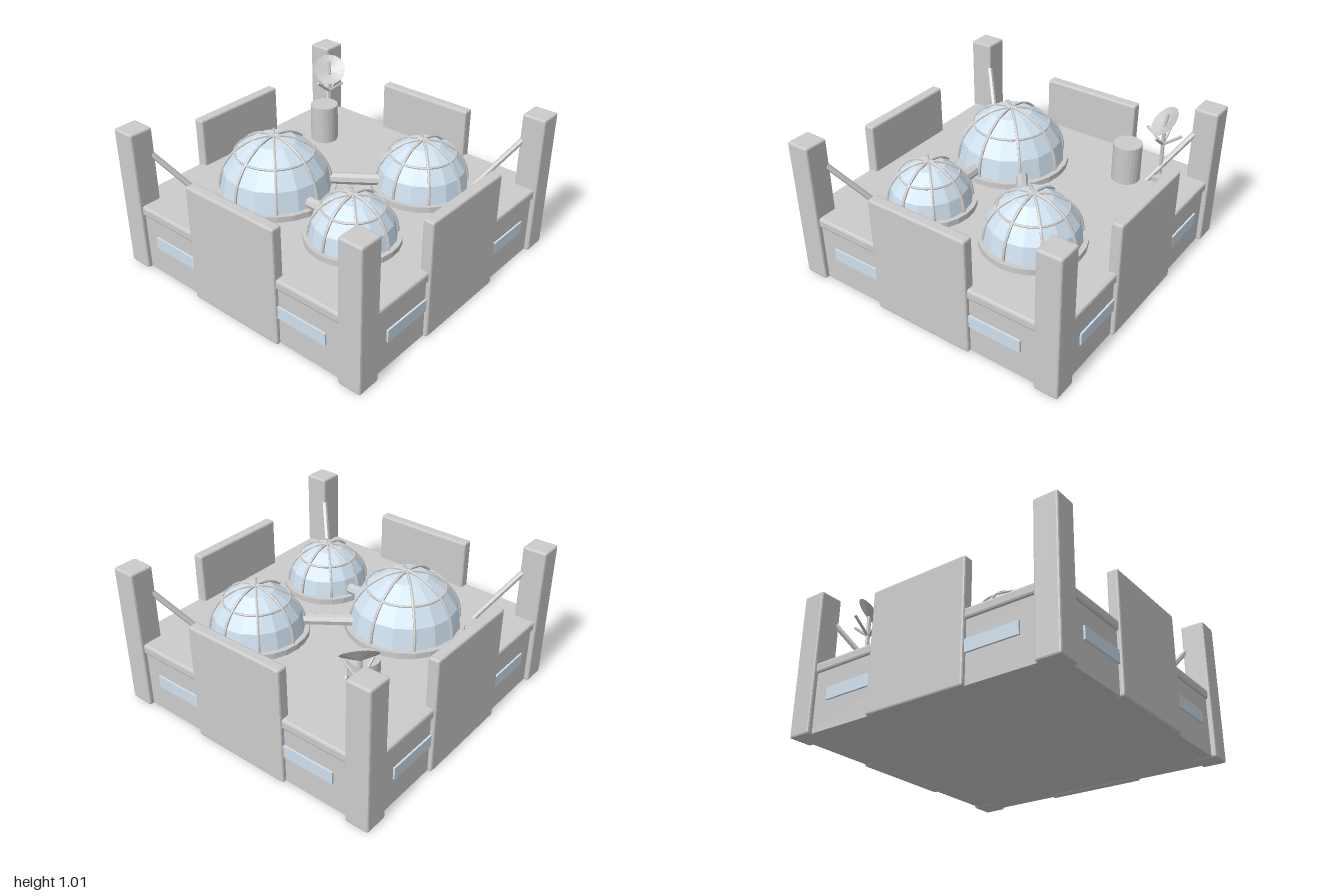
import * as THREE from 'three';
import { RoundedBoxGeometry } from 'three/addons/geometries/RoundedBoxGeometry.js';

const grey = new THREE.MeshStandardMaterial({ color: 0xcccccc, flatShading: true });
const sheet = new THREE.MeshStandardMaterial({ color: 0xcccccc, flatShading: true, side: THREE.DoubleSide });
const glass = new THREE.MeshStandardMaterial({ color: 0xcfe0ee, flatShading: true });

const ROOF = 0.48;
const V = (x, y, z) => new THREE.Vector3(x, y, z);

function add(parent, name, geometry, x = 0, y = 0, z = 0, material = grey) {
  const mesh = new THREE.Mesh(geometry, material);
  mesh.name = name;
  mesh.position.set(x, y, z);
  parent.add(mesh);
  return mesh;
}

// Box with chamfered edges
const block = (w, h, d, r = 0.012) => new RoundedBoxGeometry(w, h, d, 1, r);

// Round bar between two points
function bar(parent, name, a, b, r, sides = 8) {
  const dir = b.clone().sub(a);
  const mid = a.clone().add(b).multiplyScalar(0.5);
  const mesh = add(parent, name, new THREE.CylinderGeometry(r, r, dir.length(), sides), mid.x, mid.y, mid.z);
  mesh.quaternion.setFromUnitVectors(V(0, 1, 0), dir.normalize());
  return mesh;
}

// Glazed dome with a plinth, four arched ribs and one hoop
function dome(x, z, r) {
  const g = new THREE.Group();
  g.name = 'dome';
  g.position.set(x, ROOF, z);
  const base = 0.04, tube = 0.01;
  add(g, 'domePlinth', new THREE.CylinderGeometry(r + 0.03, r + 0.03, base, 24), 0, base / 2, 0);
  add(g, 'domeGlass', new THREE.SphereGeometry(r, 16, 4, 0, Math.PI * 2, 0, Math.PI / 2), 0, base, 0, glass);
  for (let i = 0; i < 4; i++) {
    const rib = add(g, 'domeRib', new THREE.TorusGeometry(r, tube, 6, 24, Math.PI), 0, base, 0);
    rib.rotation.y = i * Math.PI / 4;
  }
  const hoop = add(g, 'domeHoop', new THREE.TorusGeometry(r * Math.SQRT1_2, tube * 0.8, 6, 32), 0, base + r * Math.SQRT1_2, 0);
  hoop.rotation.x = Math.PI / 2;
  return g;
}

// Mast with splayed arms and a tilted dish
function antenna(x, z) {
  const g = new THREE.Group();
  g.name = 'antenna';
  g.position.set(x, 0, z);
  add(g, 'antennaBase', new THREE.CylinderGeometry(0.065, 0.065, 0.04, 16), 0, ROOF + 0.02, 0);
  bar(g, 'mast', V(0, ROOF, 0), V(0, 0.9, 0), 0.014);
  for (let i = 0; i < 4; i++) {
    const a = i * Math.PI / 2;
    bar(g, 'mastArm', V(0, 0.75, 0), V(Math.cos(a) * 0.125, 0.85, Math.sin(a) * 0.125), 0.01, 6);
  }
  const dish = add(g, 'dish', new THREE.LatheGeometry(
    [new THREE.Vector2(0, -0.03), new THREE.Vector2(0.115, 0.005)], 16), 0.003, 0.922, 0, sheet);
  dish.quaternion.setFromUnitVectors(V(0, 1, 0), V(0.5, 0.7, 0.5).normalize());
  bar(g, 'dishFeed', V(0, 0.9, 0), V(-0.012, 0.975, -0.012), 0.011, 6);
  return g;
}

export function createModel() {
  const model = new THREE.Group();
  model.name = 'domedBase';

  // Main block and roof slab
  add(model, 'mainBlock', new THREE.BoxGeometry(1.935, 0.43, 1.935), 0, 0.22, 0);
  add(model, 'roofSlab', block(1.965, 0.07, 1.965, 0.015), 0, ROOF - 0.035, 0);

  // Four identical sides: wall panel, window band, corner post and brace
  for (let i = 0; i < 4; i++) {
    const side = new THREE.Group();
    side.name = 'side';
    side.rotation.y = i * Math.PI / 2;
    add(side, 'wallPanel', block(0.72, 0.825, 0.075), 0, 0.4125, 0.9575);
    add(side, 'windowBand', new THREE.BoxGeometry(1.455, 0.085, 0.03), 0, 0.2425, 0.965, glass);
    add(side, 'cornerPost', block(0.165, 1, 0.165), 0.9175, 0.5, 0.9175);
    bar(side, 'cornerBrace', V(0.635, 0.475, 0.635), V(0.86, 0.825, 0.86), 0.02, 6);
    model.add(side);
  }

  // Domes and the corridors joining them
  model.add(dome(-0.325, 0.27, 0.37), dome(0.375, -0.4, 0.31), dome(0.425, 0.375, 0.275));
  bar(model, 'corridor', V(-0.14, 0.55, 0.05), V(0.24, 0.55, -0.23), 0.04);
  bar(model, 'corridor', V(-0.05, 0.55, 0.32), V(0.25, 0.55, 0.32), 0.04);

  // Roof equipment
  add(model, 'storageTank', new THREE.CylinderGeometry(0.098, 0.098, 0.27, 24), -0.58, ROOF + 0.135, -0.505);
  model.add(antenna(-0.7, -0.7));

  return model;
}
